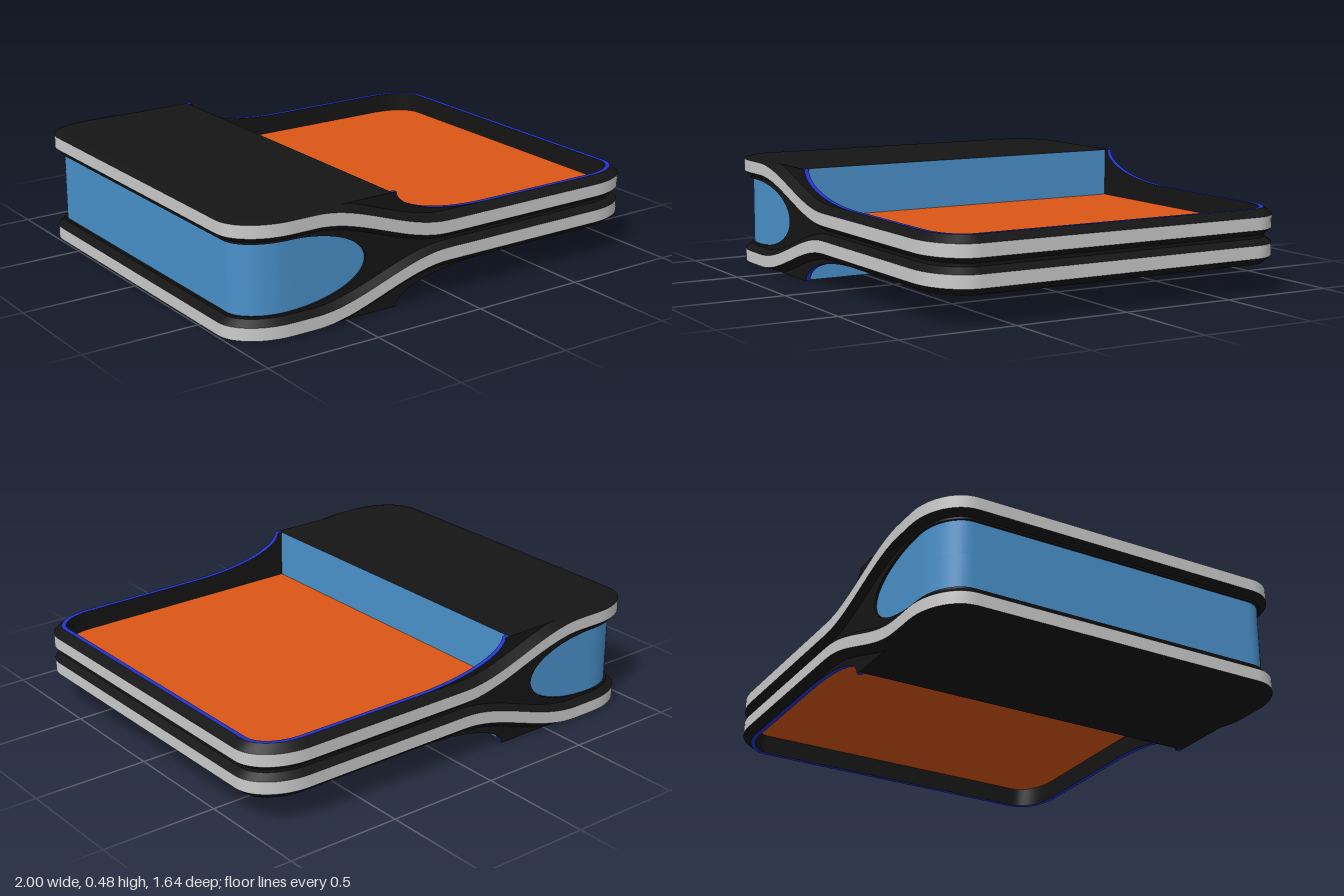
import * as THREE from 'three';

const CENTRE = 0.24, TOP = 0.24, FLOOR = 0.03; // heights below are measured from the mid plane
const STEP_X = -0.28, LIP_X = -0.26, WINDOW_X = -0.77, WINDOW_R = 0.36;
const CX = 0.77, CZ = 0.65, RX = 0.23, RZ = 0.17;

const material = (color, side = THREE.FrontSide) => new THREE.MeshStandardMaterial({ color, side });
const black = material(0x151515, THREE.DoubleSide);
const grey = material(0xcccccc, THREE.DoubleSide);
const steelBlue = material(0x4a92cc, THREE.DoubleSide);
const brightBlue = material(0x2233cc, THREE.DoubleSide);
const orange = material(0xdc5616);

// Footprint outline: position plus inset direction, front side first, counter-clockwise
function makeOutline() {
  const xs = [];
  for (let i = 0; i <= 20; i++) xs.push(WINDOW_X + WINDOW_R * Math.sin(i / 20 * Math.PI / 2));
  xs.push(-0.37, -0.33, -0.3, STEP_X);
  for (let i = 0; i <= 16; i++) xs.push(LIP_X + 0.46 * (1 - Math.cos(i / 16 * Math.PI / 2)));
  xs.push(0.45, CX);
  const pts = [];
  const corner = (sx, sz, from) => {
    for (let i = 1; i <= 12; i++) {
      const a = from - i / 12 * Math.PI / 2, c = Math.cos(a), s = Math.sin(a);
      pts.push({ x: sx * CX + RX * c, z: sz * CZ + RZ * s, nx: c, nz: s });
    }
  };
  for (const x of xs) pts.push({ x, z: CZ + RZ, nx: 0, nz: 1 });
  corner(1, 1, Math.PI / 2);
  pts.push({ x: 1, z: -CZ, nx: 1, nz: 0 });
  corner(1, -1, 0);
  for (const x of xs.slice(0, -1).reverse()) pts.push({ x, z: -CZ - RZ, nx: 0, nz: -1 });
  corner(-1, -1, -Math.PI / 2);
  pts.push({ x: -1, z: CZ, nx: -1, nz: 0 });
  corner(-1, 1, Math.PI);
  pts.pop(); // last point equals the first
  return pts;
}
const outline = makeOutline();

// Heights that change along x
const bandMid = x => 0.205 - 0.147 * THREE.MathUtils.smoothstep(x, -0.66, -0.02);
const bandTop = x => bandMid(x) + 0.027;
const bandBottom = x => bandMid(x) - 0.027;
const topY = x => {
  const t = THREE.MathUtils.clamp((x - LIP_X) / 0.46, 0, 1);
  return TOP - 0.125 * Math.sqrt(1 - (1 - t) ** 2);
};
const windowY = x => {
  const t = THREE.MathUtils.clamp((x - WINDOW_X) / WINDOW_R, 0, 1);
  return 0.145 * Math.sqrt(1 - t * t);
};
const grooveY = x => Math.max(bandBottom(x) - 0.024, windowY(x));

// Ribbon round the outline between two [inset, height(x)] rails, upper rail first
function ribbon(name, mat, [d0, y0], [d1, y1], keep = () => true) {
  const pos = [], index = [], n = outline.length;
  outline.forEach(p => {
    for (const [d, y] of [[d0, y0], [d1, y1]]) pos.push(p.x - d * p.nx, y(p.x), p.z - d * p.nz);
  });
  for (let i = 0; i < n; i++) {
    const j = (i + 1) % n;
    if (!keep(outline[i].x) || !keep(outline[j].x)) continue;
    index.push(2 * i + 1, 2 * j + 1, 2 * j, 2 * i + 1, 2 * j, 2 * i);
  }
  const g = new THREE.BufferGeometry();
  g.setAttribute('position', new THREE.Float32BufferAttribute(pos, 3));
  g.setIndex(index);
  g.computeVertexNormals();
  const mesh = new THREE.Mesh(g, mat);
  mesh.name = name;
  return mesh;
}

// Flat horizontal panel covering part of the footprint
function panel(name, mat, inset, y, keep) {
  const pts = outline.filter(p => keep(p.x))
    .map(p => new THREE.Vector2(p.x - inset * p.nx, -(p.z - inset * p.nz)));
  const mesh = new THREE.Mesh(new THREE.ShapeGeometry(new THREE.Shape(pts)).rotateX(-Math.PI / 2), mat);
  mesh.position.y = y;
  mesh.name = name;
  return mesh;
}

function makeHalf(name) {
  const half = new THREE.Group();
  half.name = name;
  const isTray = x => x >= STEP_X - 1e-6;
  const isBlock = x => x <= STEP_X + 1e-6;
  const hasWindow = x => x <= WINDOW_X + WINDOW_R + 0.001;
  const shoulder = x => Math.min(bandTop(x) + 0.03, topY(x));

  // Outer shell, from the top edge down to the mid plane
  half.add(
    ribbon('upperSide', black, [0.035, topY], [0.035, shoulder]),
    ribbon('upperChamfer', black, [0.035, shoulder], [0, bandTop]),
    ribbon('trimBand', grey, [0, bandTop], [0, bandBottom]),
    ribbon('lowerChamfer', black, [0, bandBottom], [0.03, grooveY]),
    ribbon('grooveWall', black, [0.03, grooveY], [0.03, windowY]),
    ribbon('windowEdge', black, [0.03, windowY], [0.04, windowY], hasWindow),
    ribbon('windowInfill', steelBlue, [0.04, () => 0.146], [0.04, () => 0], hasWindow));

  // Recessed tray and its lip
  half.add(
    ribbon('trayWall', black, [0.055, () => FLOOR], [0.055, topY], isTray),
    ribbon('trayLip', brightBlue, [0.055, topY], [0.035, topY], isTray),
    panel('trayFloor', orange, 0.055, FLOOR, isTray));

  // Thick block: top cover and the step down to the tray
  half.add(panel('blockCover', black, 0.035, TOP, isBlock));
  const step = new THREE.Mesh(
    new THREE.PlaneGeometry(2 * (CZ + RZ - 0.055), TOP - FLOOR).rotateY(Math.PI / 2), steelBlue);
  step.position.set(STEP_X, (TOP + FLOOR) / 2, 0);
  step.name = 'blockStep';
  half.add(step);
  return half;
}

export function createModel() {
  const model = new THREE.Group();
  model.name = 'caseWithTwoTrays';
  const upper = makeHalf('upperHalf');
  const lower = makeHalf('lowerHalf');
  lower.rotation.x = Math.PI; // the two halves match when turned over
  for (const half of [upper, lower]) {
    half.position.y = CENTRE;
    model.add(half);
  }
  return model;
}
